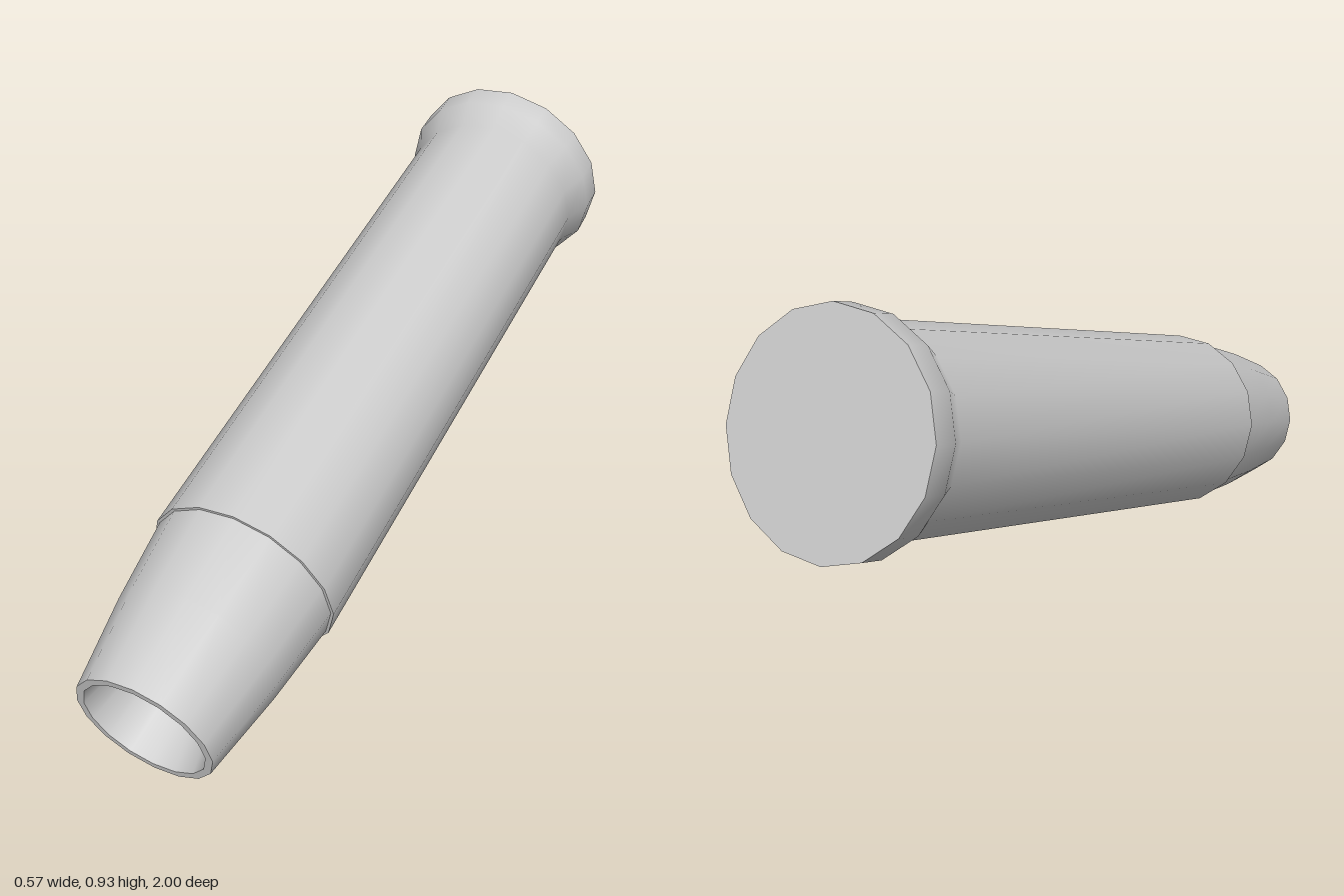
import * as THREE from 'three';

export function createModel() {
  const model = new THREE.Group();
  const material = new THREE.MeshStandardMaterial({ color: 0xcccccc });

  // Tilted long axis, from the centre of the rear face to the centre of the nose rim
  const rear = new THREE.Vector3(-0.025, 0.685, -0.93);
  const nose = new THREE.Vector3(0.08, 0.167, 0.955);
  const axis = nose.clone().sub(rear).normalize();
  const side = new THREE.Vector3(1, 0, 0).addScaledVector(axis, -axis.x).normalize();
  const third = new THREE.Vector3().crossVectors(side, axis);

  const cartridge = new THREE.Group();
  cartridge.name = 'cartridge';
  cartridge.quaternion.setFromRotationMatrix(new THREE.Matrix4().makeBasis(side, axis, third));
  cartridge.position.copy(rear);
  model.add(cartridge);

  // Each part is a 16-sided turned strip of [radius, distance along the axis]
  const turn = (name, profile) => {
    const points = profile.map(([r, y]) => new THREE.Vector2(r, y));
    const geometry = new THREE.LatheGeometry(points, 16, THREE.MathUtils.degToRad(16.2));
    const mesh = new THREE.Mesh(geometry, material);
    mesh.name = name;
    cartridge.add(mesh);
  };

  // Casing: flat base, flared flange and long straight wall, with a thin mouth lip
  turn('base', [[0, 0], [0.26, 0]]);
  turn('casing', [[0.26, 0], [0.261, 0.063], [0.231, 0.125], [0.232, 1.53]]);
  turn('casingLip', [[0.232, 1.53], [0.225, 1.53]]);

  // Tapered nose with a hollow tip
  turn('bullet', [[0.225, 1.53], [0.203, 1.738], [0.169, 1.958]]);
  turn('tipRim', [[0.169, 1.958], [0.151, 1.958]]);
  turn('cavityWall', [[0.151, 1.958], [0.103, 1.725]]);
  turn('cavityFloor', [[0.103, 1.725], [0, 1.725]]);

  return model;
}
